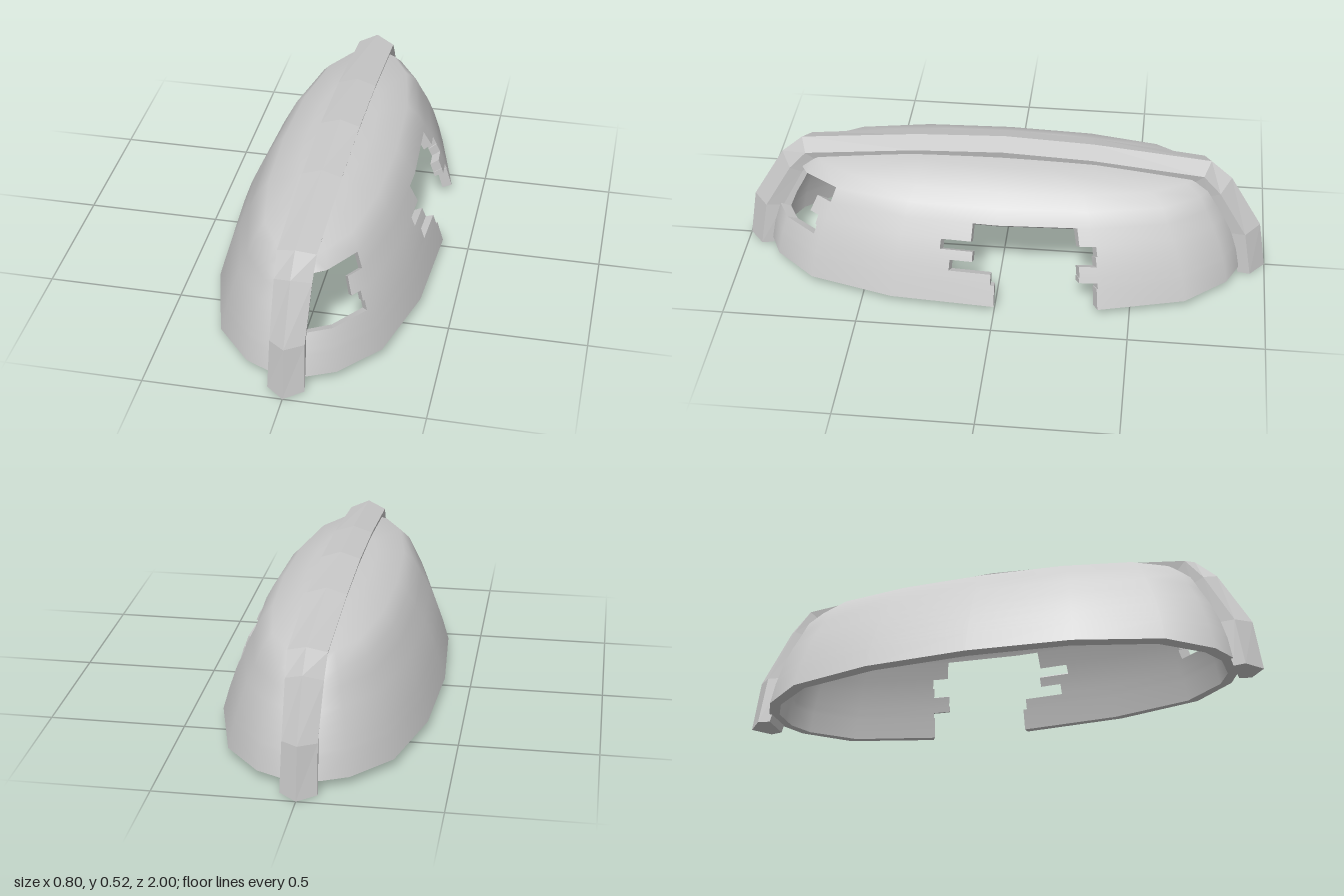
import * as THREE from 'three';

// Piecewise-linear lookup: rows sorted on column 0, returns column c
function lerpTable(rows, v, c) {
  let i = 1;
  while (i < rows.length - 1 && v > rows[i][0]) i++;
  const a = rows[i - 1], b = rows[i];
  const t = Math.min(1, Math.max(0, (v - a[0]) / (b[0] - a[0])));
  return a[c] + (b[c] - a[c]) * t;
}

// Upturned hull: height, half width, half length
const PROFILE = [
  [0.03, 0.402, 0.9], [0.11, 0.378, 0.885], [0.19, 0.35, 0.86], [0.26, 0.319, 0.832],
  [0.31, 0.292, 0.805], [0.373, 0.258, 0.775], [0.42, 0.215, 0.72], [0.463, 0.12, 0.4], [0.478, 0, 0],
];
// Plan outline of one side: u, fraction of length, fraction of width
const PLAN = [[-1, 0], [-1, 0.16], [-0.95, 0.4], [-0.78, 0.73], [-0.43, 0.94], [0, 1],
  [0.43, 0.94], [0.78, 0.73], [0.95, 0.4], [1, 0.16], [1, 0]].map((p, i) => [i, ...p]);
const BY_LENGTH = PLAN.slice(1, 10).map((p) => [p[1], p[0]]);

// Plank rows: bottom height and the broken gaps [from z, to z] on the damaged side
const BOW = 9;
const BANDS = [
  [0.03, [-0.38, 0]], [0.11, [-0.38, 0.015]], [0.13, [-0.31, 0.015]], [0.15, [-0.31, 0.17]],
  [0.19, [-0.37, 0.085], [0.69, BOW]], [0.225, [-0.37, 0.205], [0.685, BOW]],
  [0.26, [-0.3, 0.09], [0.7, BOW]], [0.32, [0.62, BOW]],
  [0.373], [0.42], [0.463], [0.478],
];

function outer(u, y) {
  return new THREE.Vector3(
    lerpTable(PROFILE, y, 1) * lerpTable(PLAN, u, 2), y,
    lerpTable(PROFILE, y, 2) * lerpTable(PLAN, u, 1));
}
const inner = (u, y) => {
  const p = outer(u, y);
  return p.set(p.x * 0.91, 0.025 + (y - 0.03) * 0.94, p.z * 0.955);
};
function hullNormal(u, y) {
  const du = outer(Math.min(10, u + 0.6), y).sub(outer(Math.max(0, u - 0.6), y));
  const dy = outer(u, Math.min(0.478, y + 0.025)).sub(outer(u, Math.max(0.03, y - 0.025)));
  const n = dy.cross(du);
  return n.length() < 1e-7 ? new THREE.Vector3(0, 1, 0) : n.normalize();
}

function hullSide(side) {
  const pos = [], nor = [];
  const quad = (pts, normals) => {
    const flat = new THREE.Vector3().subVectors(pts[2], pts[0])
      .cross(new THREE.Vector3().subVectors(pts[3], pts[1])).normalize();
    const order = side > 0 ? [0, 1, 2, 0, 2, 3] : [0, 2, 1, 0, 3, 2];
    for (const k of order) {
      const n = normals ? normals[k] : flat;
      pos.push(pts[k].x * side, pts[k].y, pts[k].z);
      nor.push(n.x * side, n.y, n.z);
    }
  };
  for (let b = 0; b < BANDS.length - 1; b++) {
    const [y0, ...gaps] = BANDS[b], y1 = BANDS[b + 1][0];
    const halfLength = lerpTable(PROFILE, (y0 + y1) / 2, 2);
    const toU = (z) => (z === BOW ? BOW : lerpTable(BY_LENGTH, z / halfLength, 1));
    // Split the row into the pieces left between gaps
    const ends = [0, ...(side > 0 ? gaps.flat().map(toU) : []), 10];
    for (let s = 0; s < ends.length; s += 2) {
      const cols = [ends[s]];
      for (let k = 1; k < 10; k++) if (k > ends[s] + 0.001 && k < ends[s + 1] - 0.001) cols.push(k);
      cols.push(ends[s + 1]);
      for (let i = 0; i < cols.length - 1; i++) {
        const c = [[cols[i], y0], [cols[i], y1], [cols[i + 1], y1], [cols[i + 1], y0]];
        const o = c.map((q) => outer(...q)), n = c.map((q) => hullNormal(...q));
        const q = c.map((k) => inner(...k));
        quad(o, n);
        quad([q[3], q[2], q[1], q[0]], [n[3], n[2], n[1], n[0]].map((v) => v.clone().negate()));
        // Rim and plank edges
        if (b === 0 || (side > 0 && b < 9)) quad([o[0], o[3], q[3], q[0]]);
        if (side > 0 && b < 9) quad([o[1], q[1], q[2], o[2]]);
        // Broken plank ends
        if (i === 0 && s > 0) quad([o[0], q[0], q[1], o[1]]);
        if (i === cols.length - 2 && s < ends.length - 2) quad([o[3], o[2], q[2], q[3]]);
      }
    }
  }
  const g = new THREE.BufferGeometry();
  g.setAttribute('position', new THREE.Float32BufferAttribute(pos, 3));
  g.setAttribute('normal', new THREE.Float32BufferAttribute(nor, 3));
  return g;
}

function keelGeometry() {
  // ridge z,y / edge z,y / inner z,y / half width
  const half = [
    [1, 0, 0.945, 0, 0.9, 0, 0.066],
    [0.97, 0.19, 0.915, 0.18, 0.85, 0.18, 0.062],
    [0.85, 0.395, 0.81, 0.365, 0.765, 0.345, 0.067],
    [0.77, 0.465, 0.745, 0.44, 0.715, 0.41, 0.07],
    [0.33, 0.508, 0.33, 0.484, 0.33, 0.452, 0.073],
    [0, 0.522, 0, 0.498, 0, 0.466, 0.074],
  ];
  const mirrored = half.slice(0, -1).reverse()
    .map(([a, b, c, d, e, f, w]) => [-a, b, -c, d, -e, f, w]);
  const pos = [], idx = [];
  const rings = [...half, ...mirrored];
  for (const [a, b, c, d, e, f, w] of rings) {
    pos.push(0, b, a, w, d, c, w * 0.88, f, e, -w * 0.88, f, e, -w, d, c);
  }
  for (let i = 0; i < rings.length - 1; i++) {
    for (let j = 0; j < 5; j++) {
      const a = i * 5 + j, d = i * 5 + (j + 1) % 5;
      idx.push(a, d, d + 5, a, d + 5, a + 5);
    }
  }
  // End caps
  const e = (rings.length - 1) * 5;
  for (let j = 1; j < 4; j++) idx.push(0, j + 1, j, e, e + j, e + j + 1);
  const g = new THREE.BufferGeometry();
  g.setAttribute('position', new THREE.Float32BufferAttribute(pos, 3));
  g.setIndex(idx);
  const flat = g.toNonIndexed();
  flat.computeVertexNormals();
  return flat;
}

export function createModel() {
  const group = new THREE.Group();
  group.name = 'upturnedBoatWreck';
  const add = (name, geometry, options = {}) => {
    const mesh = new THREE.Mesh(geometry,
      new THREE.MeshStandardMaterial({ color: 0xcccccc, side: THREE.DoubleSide, ...options }));
    mesh.name = name;
    group.add(mesh);
  };
  add('brokenHullSide', hullSide(1));
  add('wholeHullSide', hullSide(-1));
  add('keel', keelGeometry(), { flatShading: true });
  return group;
}
